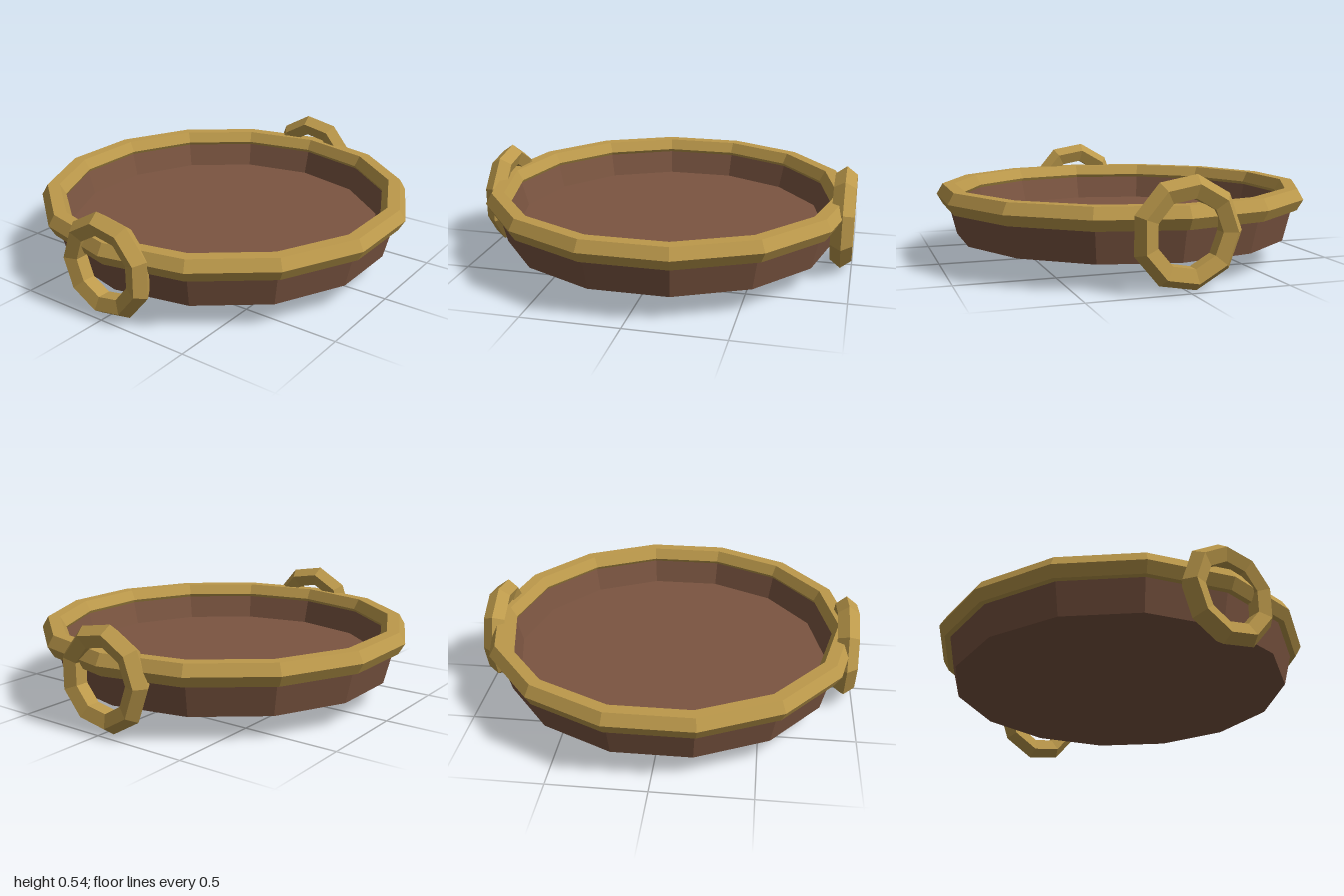
import * as THREE from 'three';

const SIDES = 14;

export function createModel() {
  const wood = new THREE.MeshStandardMaterial({ color: 0x7b5541, flatShading: true });
  wood.name = 'brown wood';
  const brass = new THREE.MeshStandardMaterial({ color: 0xbc994b, flatShading: true });
  brass.name = 'aged brass';

  const tray = new THREE.Group();
  tray.name = 'tray';
  const add = (name, geometry, material) => {
    const mesh = new THREE.Mesh(geometry, material);
    mesh.name = name;
    tray.add(mesh);
    return mesh;
  };

  // Shallow pan: underside, flared outer wall, inner wall and floor
  const profile = [
    [0, 0.125], [0.897, 0.125], [0.948, 0.33],
    [0.88, 0.33], [0.844, 0.2], [0, 0.2],
  ].map(([r, y]) => new THREE.Vector2(r, y));
  add('pan', new THREE.LatheGeometry(profile, SIDES, Math.PI / SIDES), wood);

  // Six-sided rim running round the top of the wall
  const rim = add('rim', new THREE.TorusGeometry(0.935, 0.065, 6, SIDES), brass);
  rim.rotation.x = -Math.PI / 2;
  rim.position.y = 0.345;

  // Upright ring handles, one on each side
  for (const [name, side] of [['leftHandle', 1], ['rightHandle', -1]]) {
    const ring = add(name, new THREE.TorusGeometry(0.212, 0.06, 5, 9), brass);
    ring.rotation.y = Math.PI / 2;
    ring.position.set(side * 0.943, 0.271, 0);
  }

  return tray;
}
